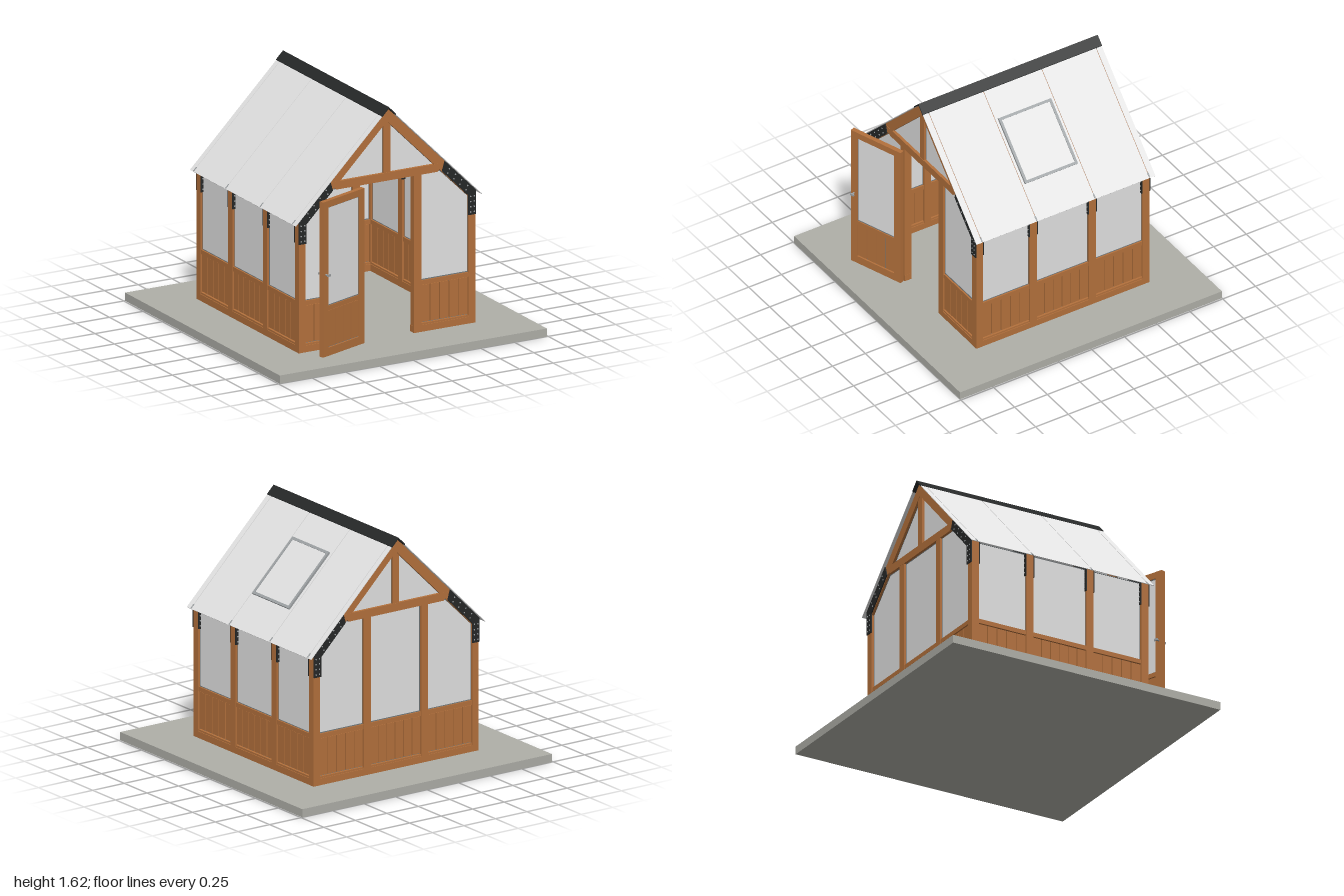
import * as THREE from 'three';

const mat = (name, color) => new THREE.MeshStandardMaterial({ name, color });

export function createModel() {
  const wood = mat('wood', 0xb4713c);
  const glass = mat('frosted glass', 0xe3e3e3);
  const slab = mat('concrete', 0xafafa8);
  const black = mat('black steel', 0x262828);
  const metal = mat('grey metal', 0x9ea2a4);
  const seal = mat('grey seal', 0x737a7d);

  const root = new THREE.Group();
  root.name = 'gardenHouse';

  // Box given by its limits
  function box(parent, name, m, x0, x1, y0, y1, z0, z1) {
    const mesh = new THREE.Mesh(new THREE.BoxGeometry(x1 - x0, y1 - y0, z1 - z0), m);
    mesh.position.set((x0 + x1) / 2, (y0 + y1) / 2, (z0 + z1) / 2);
    mesh.name = name;
    parent.add(mesh);
  }
  // Flat outline given a thickness, centred on z
  function plate(parent, name, m, pts, depth, z = 0, hole = null) {
    const shape = new THREE.Shape(pts.map(p => new THREE.Vector2(...p)));
    if (hole) shape.holes.push(new THREE.Path(hole.map(p => new THREE.Vector2(...p))));
    const mesh = new THREE.Mesh(new THREE.ExtrudeGeometry(shape, { depth, bevelEnabled: false }), m);
    mesh.position.z = z - depth / 2;
    mesh.name = name;
    parent.add(mesh);
  }
  function group(parent, name) {
    const g = new THREE.Group();
    g.name = name;
    parent.add(g);
    return g;
  }
  // Glass pane with a slim seal around it
  function pane(parent, pts) {
    plate(parent, 'pane', glass, pts, 0.012);
    const cx = pts.reduce((s, p) => s + p[0], 0) / pts.length;
    const cy = pts.reduce((s, p) => s + p[1], 0) / pts.length;
    const inner = pts.map(([x, y]) => [cx + (x - cx) * 0.985, cy + (y - cy) * 0.985]);
    plate(parent, 'paneSeal', seal, pts, 0.018, 0, inner);
  }
  // Boarded lower part of a bay
  function boards(parent, x0, x1, y0, t = 0.04) {
    const h = t / 2;
    box(parent, 'bottomRail', wood, x0, x1, y0, y0 + 0.055, -h, h);
    box(parent, 'midRail', wood, x0, x1, 0.37, 0.4, -h, h);
    box(parent, 'boardBacking', seal, x0, x1, y0 + 0.05, 0.372, -0.004, 0.004);
    const n = Math.max(4, Math.round((x1 - x0) / 0.07)), w = (x1 - x0) / n;
    for (let i = 0; i < n; i++) {
      box(parent, 'board', wood, x0 + i * w + 0.003, x0 + (i + 1) * w - 0.003, y0 + 0.061, 0.366, -h * 0.7, h * 0.7);
    }
  }

  box(root, 'baseSlab', slab, -0.99, 0.99, 0, 0.055, -1, 1);

  // Side walls
  for (const s of [-1, 1]) {
    const wall = group(root, s > 0 ? 'leftWall' : 'rightWall');
    wall.position.x = s * 0.63;
    wall.rotation.y = s * Math.PI / 2;
    for (const [a, b] of [[-0.61, -0.25], [-0.2, 0.2], [0.25, 0.61]]) {
      boards(wall, a, b, 0.057);
      pane(wall, [[a, 0.4], [b, 0.4], [b, 0.945], [a, 0.945]]);
    }
    box(wall, 'sill', wood, -0.66, 0.66, 0.055, 0.1, -0.025, 0.025);
  }

  // Front and back gable walls
  for (const s of [1, -1]) {
    const wall = group(root, s > 0 ? 'frontWall' : 'backWall');
    wall.position.z = s * 0.635;
    for (const k of [-1, 1]) {
      const side = group(wall, 'sideBay');
      box(side, 'innerPost', wood, k * 0.2275 - 0.0265, k * 0.2275 + 0.0265, 0.055, 1.13, -0.025, 0.025);
      boards(side, k > 0 ? 0.254 : -0.605, k > 0 ? 0.605 : -0.254, 0.057);
      box(side, 'sill', wood, k > 0 ? 0.2 : -0.655, k > 0 ? 0.655 : -0.2, 0.055, 0.1, -0.025, 0.025);
      pane(side, [[0.254, 0.4], [0.605, 0.4], [0.605, 0.92], [0.4, 1.12], [0.254, 1.12]].map(([x, y]) => [k * x, y]));
      pane(side, [[0.025, 1.17], [0.35, 1.17], [0.025, 1.495]].map(([x, y]) => [k * x, y]));
    }
    plate(wall, 'tieBeam', wood, [[-0.375, 1.118], [0.375, 1.118], [0.425, 1.172], [-0.425, 1.172]], 0.052);
    box(wall, 'kingPost', wood, -0.025, 0.025, 1.17, 1.56, -0.023, 0.023);
    if (s < 0) {
      box(wall, 'sill', wood, -0.2, 0.2, 0.055, 0.1, -0.025, 0.025);
      boards(wall, -0.2, 0.2, 0.057);
      pane(wall, [[-0.2, 0.4], [0.2, 0.4], [0.2, 1.12], [-0.2, 1.12]]);
    }
  }

  // Four frames of posts and rafters with bolted steel brackets
  const bolt = new THREE.CylinderGeometry(0.005, 0.005, 0.004, 8).rotateX(Math.PI / 2);
  for (const z of [-0.635, -0.225, 0.225, 0.635]) {
    const frame = group(root, 'roofFrame');
    frame.position.z = z;
    plate(frame, 'rafters', wood,
      [[0, 1.61], [-0.655, 0.955], [-0.655, 0.885], [-0.635, 0.885], [0, 1.52], [0.635, 0.885], [0.655, 0.885], [0.655, 0.955]], 0.05);
    for (const k of [-1, 1]) {
      box(frame, 'sidePost', wood, k * 0.63 - 0.025, k * 0.63 + 0.025, 0.055, 0.95, -0.026, 0.026);
      const outline = [[0.6, 0.79], [0.656, 0.79], [0.656, 0.953], [0.425, 1.184], [0.405, 1.118], [0.6, 0.922]];
      for (const f of [-1, 1]) {
        plate(frame, 'bracket', black, outline.map(([x, y]) => [k * x, y]), 0.007, f * 0.0295);
        const spots = [];
        for (let i = 0; i < 4; i++) {
          spots.push([0.615, 0.81 + i * 0.035], [0.642, 0.81 + i * 0.035]);
          spots.push([0.58 - i * 0.045, 0.965 + i * 0.045], [0.592 - i * 0.045, 0.993 + i * 0.045]);
        }
        for (const [x, y] of spots) {
          const b = new THREE.Mesh(bolt, metal);
          b.name = 'bracketBolt';
          b.position.set(k * x, y, f * 0.034);
          frame.add(b);
        }
      }
    }
  }

  // Roof slopes: sheets with narrow joints over the rafters
  const edges = [-0.685, -0.64, -0.225, 0.22, 0.638, 0.685];
  for (const s of [-1, 1]) {
    const slope = group(root, s > 0 ? 'leftRoof' : 'rightRoof');
    slope.position.set(s * 0.356, 1.259, 0);
    slope.rotation.z = -s * Math.PI / 4;
    for (let i = 0; i < 5; i++) {
      box(slope, 'roofSheet', glass, -0.473, 0.473, -0.002, 0.002, edges[i] + 0.002, edges[i + 1] - 0.002);
    }
    for (const z of edges.slice(1, 5)) {
      const e = s * 0.452;
      box(slope, 'eaveClip', metal, e - 0.016, e + 0.016, -0.003, 0.004, z - 0.005, z + 0.005);
    }
    if (s > 0) {
      // Roof window
      const win = group(slope, 'roofWindow');
      win.position.x = -0.008;
      for (const k of [-1, 1]) {
        box(win, 'windowSideBar', metal, -0.228, 0.228, 0, 0.016, k * 0.192 - 0.009, k * 0.192 + 0.009);
        box(win, 'windowEndBar', metal, k * 0.219 - 0.009, k * 0.219 + 0.009, 0, 0.016, -0.183, 0.183);
      }
      box(win, 'windowPane', glass, -0.21, 0.21, 0.003, 0.012, -0.183, 0.183);
    }
  }
  plate(root, 'ridgeCap', black,
    [[0, 1.622], [-0.052, 1.57], [-0.052, 1.56], [0, 1.612], [0.052, 1.56], [0.052, 1.57]], 1.37);

  // Open door, hinged on the front right inner post
  const door = group(root, 'door');
  door.position.set(-0.195, 0, 0.684);
  door.rotation.y = 0.34;
  box(door, 'hingeStile', wood, -0.052, 0, 0.062, 1.11, -0.016, 0.016);
  box(door, 'lockStile', wood, -0.405, -0.353, 0.062, 1.11, -0.016, 0.016);
  box(door, 'topRail', wood, -0.353, -0.052, 1.065, 1.11, -0.016, 0.016);
  boards(door, -0.353, -0.052, 0.062, 0.032);
  pane(door, [[-0.353, 0.4], [-0.052, 0.4], [-0.052, 1.065], [-0.353, 1.065]]);
  for (const f of [-1, 1]) {
    const stem = new THREE.Mesh(new THREE.CylinderGeometry(0.006, 0.006, 0.026, 12).rotateX(Math.PI / 2), metal);
    stem.position.set(-0.38, 0.615, f * 0.027);
    stem.name = 'handleStem';
    door.add(stem);
    box(door, 'handleLever', metal, -0.39, -0.362, 0.608, 0.622, f * 0.039 - 0.004, f * 0.039 + 0.004);
  }

  return root;
}
